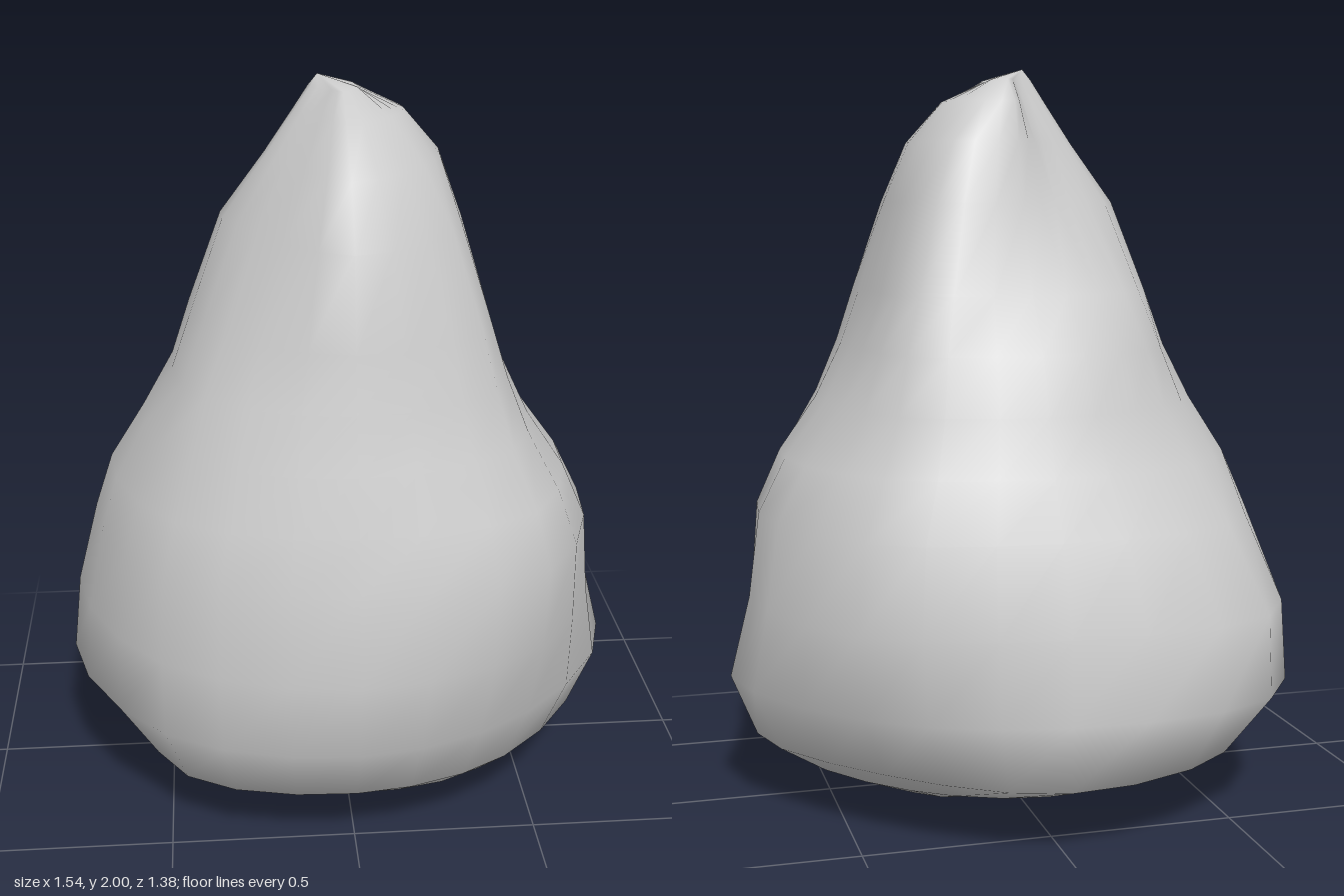
import * as THREE from 'three';

// Rock cross-sections: height, then the radius in eight compass directions,
// starting at +x and turning through +z, -x and -z.
const SECTIONS = [
  [0.01, 0.20, 0.20, 0.17, 0.14, 0.12, 0.10, 0.10, 0.19],
  [0.03, 0.38, 0.37, 0.28, 0.28, 0.21, 0.21, 0.20, 0.32],
  [0.10, 0.57, 0.51, 0.45, 0.47, 0.47, 0.49, 0.48, 0.48],
  [0.18, 0.70, 0.60, 0.57, 0.64, 0.60, 0.69, 0.68, 0.60],
  [0.35, 0.77, 0.67, 0.655, 0.715, 0.775, 0.82, 0.685, 0.69],
  [0.57, 0.715, 0.71, 0.685, 0.72, 0.75, 0.81, 0.67, 0.715],
  [0.80, 0.685, 0.72, 0.635, 0.70, 0.69, 0.69, 0.60, 0.68],
  [0.95, 0.61, 0.67, 0.60, 0.65, 0.64, 0.59, 0.53, 0.59],
  [1.10, 0.50, 0.59, 0.56, 0.59, 0.545, 0.50, 0.475, 0.52],
  [1.25, 0.425, 0.53, 0.52, 0.53, 0.46, 0.45, 0.42, 0.48],
  [1.40, 0.37, 0.48, 0.49, 0.45, 0.41, 0.38, 0.32, 0.42],
  [1.64, 0.31, 0.38, 0.445, 0.33, 0.32, 0.21, 0.235, 0.335],
  [1.80, 0.26, 0.28, 0.35, 0.21, 0.20, 0.13, 0.18, 0.25],
  [1.91, 0.165, 0.17, 0.21, 0.12, 0.125, 0.07, 0.14, 0.16],
  [1.97, 0.03, 0.06, 0.10, 0.06, 0.085, 0.045, 0.07, 0.05],
];
const SIDES = 24;

// Smooth closed outline through the eight points of one section
function outline([y, ...radii]) {
  const points = radii.map((r, k) => {
    const a = (k / radii.length) * Math.PI * 2;
    return new THREE.Vector3(r * Math.cos(a), y, r * Math.sin(a));
  });
  const curve = new THREE.CatmullRomCurve3(points, true);
  return Array.from({ length: SIDES }, (_, j) => curve.getPoint(j / SIDES));
}

function rockGeometry() {
  const points = SECTIONS.flatMap(outline);
  const bottom = points.push(new THREE.Vector3(0.03, 0, 0.04)) - 1;
  const tip = points.push(new THREE.Vector3(-0.06, 2, 0)) - 1;
  const last = (SECTIONS.length - 1) * SIDES;
  const index = [];
  for (let j = 0; j < SIDES; j++) {
    const n = (j + 1) % SIDES;
    index.push(bottom, j, n);
    for (let row = 0; row < last; row += SIDES) {
      const a = row + j, b = row + n;
      index.push(a, a + SIDES, b, b, a + SIDES, b + SIDES);
    }
    index.push(last + j, tip, last + n);
  }
  const geometry = new THREE.BufferGeometry().setFromPoints(points);
  geometry.setIndex(index);
  geometry.computeVertexNormals();
  return geometry;
}

export function createModel() {
  const group = new THREE.Group();
  group.name = 'boulder';
  const rock = new THREE.Mesh(
    rockGeometry(),
    new THREE.MeshStandardMaterial({ color: 0xcccccc })
  );
  rock.name = 'rock';
  group.add(rock);
  return group;
}
